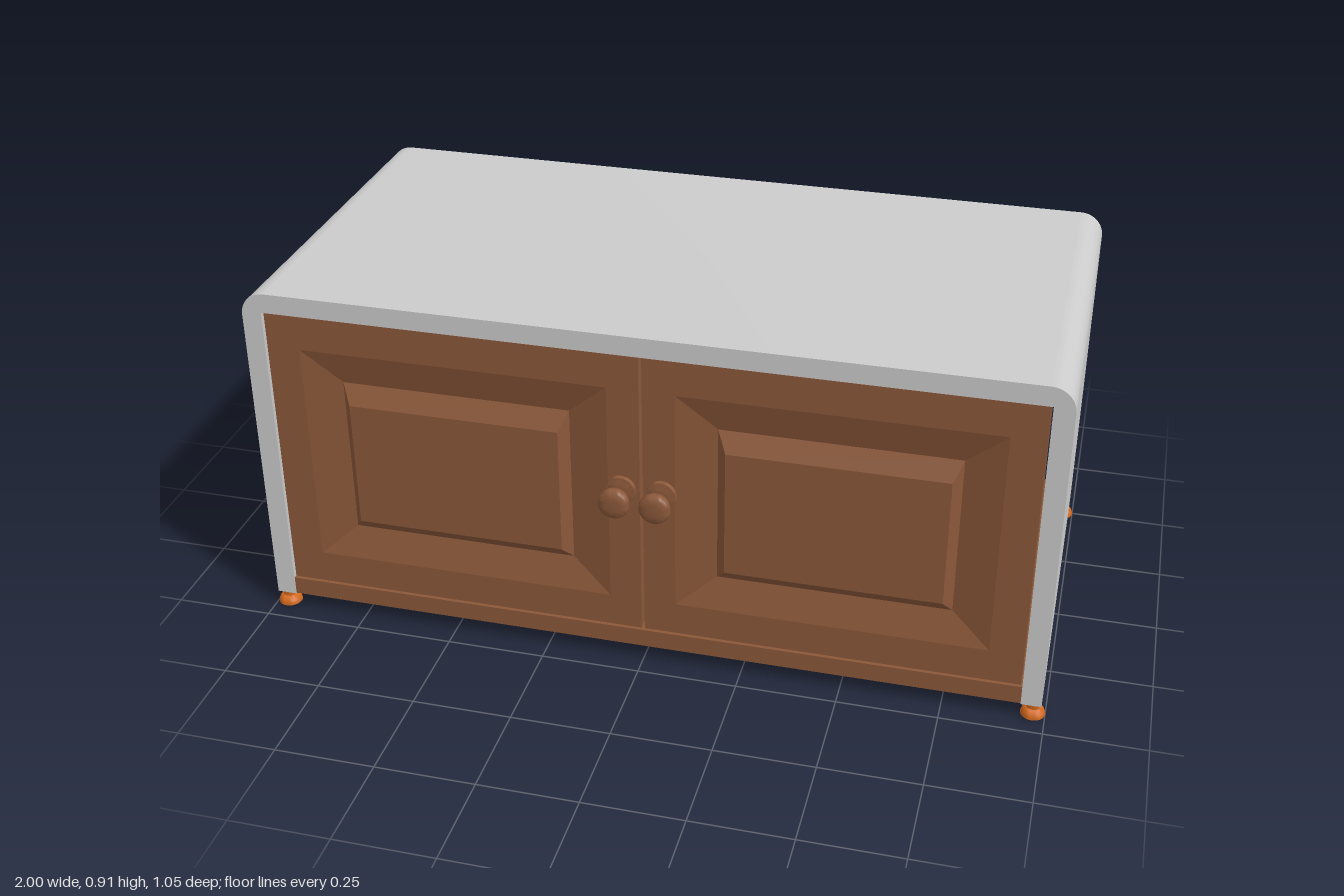
import * as THREE from 'three';
import { toCreasedNormals } from 'three/addons/utils/BufferGeometryUtils.js';

const mat = (color) => new THREE.MeshStandardMaterial({ color });
const grey = mat(0xcccccc);
const brown = mat(0x8b5839);
const orange = mat(0xd2691e);

function add(group, name, geometry, material, x = 0, y = 0, z = 0) {
  const mesh = new THREE.Mesh(geometry, material);
  mesh.name = name;
  mesh.position.set(x, y, z);
  group.add(mesh);
  return mesh;
}

// Inverted U with rounded outer corners and square inner ones
function shellGeometry() {
  const w = 0.99, iw = 0.94, bottom = 0.04, top = 0.91, innerTop = 0.86, r = 0.06;
  const s = new THREE.Shape();
  s.moveTo(w, bottom);
  s.lineTo(w, top - r);
  s.absarc(w - r, top - r, r, 0, Math.PI / 2, false);
  s.lineTo(-w + r, top);
  s.absarc(-w + r, top - r, r, Math.PI / 2, Math.PI, false);
  s.lineTo(-w, bottom);
  s.lineTo(-iw, bottom);
  s.lineTo(-iw, innerTop);
  s.lineTo(iw, innerTop);
  s.lineTo(iw, bottom);
  s.closePath();
  const g = new THREE.ExtrudeGeometry(s, { depth: 0.97, bevelEnabled: false, curveSegments: 10 });
  return toCreasedNormals(g, 0.6);
}

// Solid lofted through rectangles [x0, x1, y0, y1, z], listed from back to front face centre
function rectLoft(rects) {
  const rings = rects.map(([x0, x1, y0, y1, z]) => [[x0, y0, z], [x1, y0, z], [x1, y1, z], [x0, y1, z]]);
  const pos = [];
  const quad = (a, b, c, d) => pos.push(...a, ...b, ...c, ...a, ...c, ...d);
  const first = rings[0], last = rings[rings.length - 1];
  quad(first[3], first[2], first[1], first[0]);
  for (let k = 0; k < rings.length - 1; k++) {
    for (let i = 0; i < 4; i++) {
      const j = (i + 1) % 4;
      quad(rings[k][i], rings[k][j], rings[k + 1][j], rings[k + 1][i]);
    }
  }
  quad(...last);
  const g = new THREE.BufferGeometry();
  g.setAttribute('position', new THREE.Float32BufferAttribute(pos, 3));
  g.computeVertexNormals();
  return g;
}

function lathe(points, segments) {
  const g = new THREE.LatheGeometry(points.map(([r, y]) => new THREE.Vector2(r, y)), segments);
  return toCreasedNormals(g, 0.7);
}

export function createModel() {
  const group = new THREE.Group();

  add(group, 'cabinetShell', shellGeometry(), grey, 0, 0, -0.52);
  add(group, 'floorPanel', new THREE.BoxGeometry(1.88, 0.048, 0.966), brown, 0, 0.065, -0.035);

  // Door: slab, sloped recess, raised centre field
  const doorRects = [
    [0.004, 0.936, 0.094, 0.857, 0.38],
    [0.004, 0.936, 0.094, 0.857, 0.445],
    [0.083, 0.853, 0.18, 0.768, 0.445],
    [0.182, 0.757, 0.265, 0.68, 0.422],
    [0.205, 0.735, 0.297, 0.63, 0.448],
  ];
  // Knob: foot plate, thin neck, mushroom head
  const knob = lathe([
    [0, 0], [0.038, 0], [0.036, 0.012], [0.022, 0.014], [0.01, 0.018], [0.01, 0.036],
    [0.02, 0.037], [0.03, 0.045], [0.037, 0.058], [0.039, 0.066], [0.037, 0.076],
    [0.032, 0.08], [0.018, 0.082], [0, 0.083],
  ], 28);
  // Foot: low domed base with a short stem
  const foot = lathe([
    [0, 0], [0.03, 0], [0.03, 0.004], [0.027, 0.013], [0.02, 0.021], [0.017, 0.022],
    [0.017, 0.041], [0, 0.041],
  ], 24);

  for (const side of [-1, 1]) {
    const label = side > 0 ? 'left' : 'right';
    const rects = doorRects.map(([a, b, ...rest]) => (side > 0 ? [a, b, ...rest] : [-b, -a, ...rest]));
    add(group, label + 'Door', rectLoft(rects), brown);
    add(group, label + 'Knob', knob, brown, side * 0.05, 0.495, 0.443).rotation.x = Math.PI / 2;
    add(group, label + 'FrontFoot', foot, orange, side * 0.97, 0, 0.425);
    add(group, label + 'BackFoot', foot, orange, side * 0.97, 0, -0.495);
  }
  return group;
}
